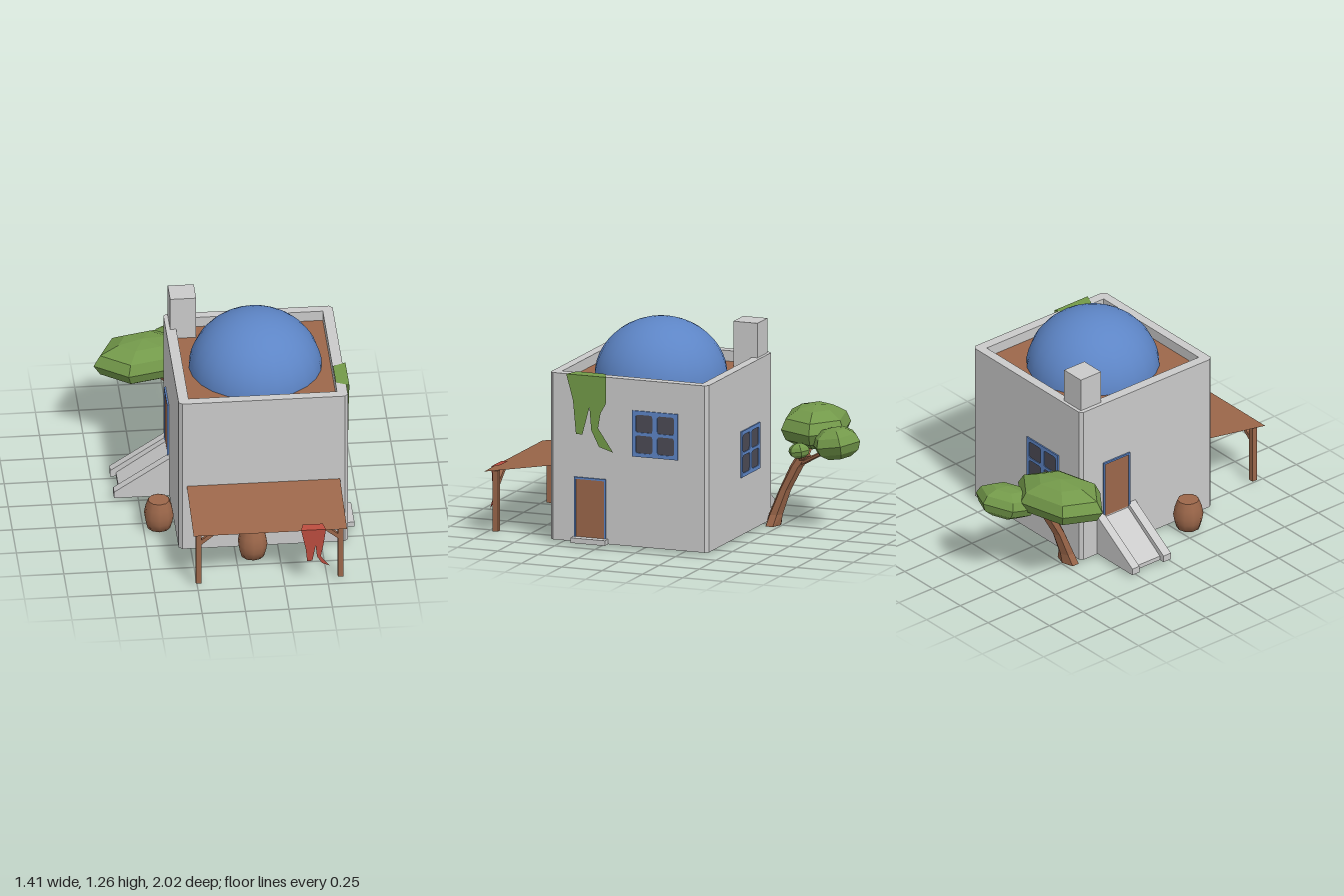
import * as THREE from 'three';

const mat = (name, color, side = THREE.FrontSide) => {
  const m = new THREE.MeshStandardMaterial({ color, side });
  m.name = name;
  return m;
};

export function createModel() {
  const model = new THREE.Group();
  const plaster = mat('plaster', 0xcacaca);
  const wood = mat('wood', 0x9c674a, THREE.DoubleSide);
  const blue = mat('bluePaint', 0x5d85c6);
  const glass = mat('darkGlass', 0x4c4b55);
  const leaf = mat('leafGreen', 0x73994a);
  const greenCloth = mat('greenCloth', 0x739a48, THREE.DoubleSide);
  const redCloth = mat('redCloth', 0xb84c3e, THREE.DoubleSide);

  const add = (name, geo, material, parent = model) => {
    const m = new THREE.Mesh(geo, material);
    m.name = name;
    parent.add(m);
    return m;
  };
  const box = (name, x0, x1, y0, y1, z0, z1, material, parent) => {
    const m = add(name, new THREE.BoxGeometry(x1 - x0, y1 - y0, z1 - z0), material, parent);
    m.position.set((x0 + x1) / 2, (y0 + y1) / 2, (z0 + z1) / 2);
    return m;
  };
  const shapeOf = (pts) => new THREE.Shape(pts.map(([x, y]) => new THREE.Vector2(x, y)));
  const rect = (x0, x1, y0, y1) => [[x0, y0], [x1, y0], [x1, y1], [x0, y1]];
  const extrude = (shape, depth) =>
    new THREE.ExtrudeGeometry(shape, { depth, bevelEnabled: false, curveSegments: 3 });
  const faceted = (geo) => {
    const g = geo.toNonIndexed();
    g.computeVertexNormals();
    return g;
  };

  // House body with chamfered corners, parapet and roof floor
  const X0 = -0.32, X1 = 0.655, Z0 = -0.41, Z1 = 0.57, C = 0.02;
  const outline = () => shapeOf([
    [X0 + C, -Z1], [X1 - C, -Z1], [X1, -Z1 + C], [X1, -Z0 - C],
    [X1 - C, -Z0], [X0 + C, -Z0], [X0, -Z0 - C], [X0, -Z1 + C]]);
  const flat = (geo, y) => geo.rotateX(-Math.PI / 2).translate(0, y, 0);
  add('houseBody', flat(extrude(outline(), 0.91), 0.02), plaster);
  const rim = outline();
  rim.holes.push(shapeOf(rect(X0 + 0.06, X1 - 0.06, -Z1 + 0.055, -Z0 - 0.055)));
  add('parapet', flat(extrude(rim, 0.07), 0.93), plaster);
  box('roofFloor', X0 + 0.06, X1 - 0.06, 0.93, 0.938, Z0 + 0.055, Z1 - 0.055, wood);

  // Dome and chimney
  const dome = add('dome', new THREE.SphereGeometry(1, 24, 12, 0, Math.PI * 2, 0, Math.PI / 2), blue);
  dome.scale.set(0.385, 0.355, 0.385);
  dome.position.set(0.165, 0.91, 0.08);
  box('chimney', -0.295, -0.145, 0.93, 1.203, -0.39, -0.24, plaster);

  // Wall fittings: local z points out of the wall
  const onWall = (name, x, y, z, turn) => {
    const g = new THREE.Group();
    g.name = name;
    g.position.set(x, y, z);
    g.rotation.y = turn;
    model.add(g);
    return g;
  };
  const windowAt = (...place) => {
    const g = onWall('window', ...place);
    const frame = shapeOf(rect(-0.14, 0.14, -0.135, 0.135));
    for (const x of [-0.067, 0.067]) for (const y of [-0.061, 0.061]) {
      const hole = new THREE.Path(), a = 0.052, r = 0.015;
      hole.moveTo(x - a + r, y - a);
      hole.lineTo(x + a - r, y - a).quadraticCurveTo(x + a, y - a, x + a, y - a + r);
      hole.lineTo(x + a, y + a - r).quadraticCurveTo(x + a, y + a, x + a - r, y + a);
      hole.lineTo(x - a + r, y + a).quadraticCurveTo(x - a, y + a, x - a, y + a - r);
      hole.lineTo(x - a, y - a + r).quadraticCurveTo(x - a, y - a, x - a + r, y - a);
      frame.holes.push(hole);
    }
    add('windowFrame', extrude(frame, 0.008), blue, g);
    box('windowPanes', -0.13, 0.13, -0.125, 0.125, 0, 0.003, glass, g);
  };
  const doorAt = (...place) => {
    const g = onWall('door', ...place);
    const w = 0.098, t = 0.011, h = 0.355;
    add('doorFrame', extrude(shapeOf([[-w, 0], [-w + t, 0], [-w + t, h - t], [w - t, h - t],
      [w - t, 0], [w, 0], [w, h], [-w, h]]), 0.01), blue, g);
    box('doorPanel', -w + t, w - t, 0, h - t, 0, 0.004, wood, g);
  };
  windowAt(X1, 0.685, -0.085, Math.PI / 2);
  windowAt(0.02, 0.495, Z0, Math.PI);
  doorAt(X1, 0.045, 0.317, Math.PI / 2);
  doorAt(X0, 0.255, -0.148, -Math.PI / 2);
  box('doorStep', X1 - 0.01, 0.705, 0.02, 0.05, 0.207, 0.42, plaster);

  // Ramp with two side walls
  const slab = (name, pts, z0, z1) =>
    add(name, extrude(shapeOf(pts), z1 - z0).translate(0, 0, z0), plaster);
  const curb = [[-0.64, 0.025], [X0, 0.025], [X0, 0.275], [-0.64, 0.065]];
  slab('rampWall', curb, -0.292, -0.24);
  slab('rampWall', curb, -0.06, -0.005);
  slab('ramp', [[-0.607, 0.025], [X0, 0.025], [X0, 0.245], [-0.607, 0.05]], -0.24, -0.06);

  // Awning sheet, posts and braces
  const sheet = (name, pts, material, parent) => {
    const g = new THREE.BufferGeometry();
    g.setAttribute('position', new THREE.Float32BufferAttribute(pts.flat(), 3));
    g.setIndex([0, 1, 2, 0, 2, 3]);
    g.computeVertexNormals();
    return add(name, g, material, parent);
  };
  sheet('awning', [[-0.275, 0.37, 0.997], [0.608, 0.37, 0.997],
    [0.608, 0.443, Z1], [-0.275, 0.443, Z1]], wood);
  for (const s of [-1, 1]) {
    const px = 0.167 + s * 0.409;
    box('awningPost', px - 0.016, px + 0.016, 0.02, 0.376, 0.917, 0.95, wood);
    const edge = px - s * 0.014;
    const brace = [[edge, 0.275], [edge, 0.305], [edge - s * 0.085, 0.377], [edge - s * 0.125, 0.377]];
    add('awningBrace', extrude(shapeOf(brace), 0.022).translate(0, 0, 0.922), wood);
  }

  // Barrels
  const stave = [[0, 0], [0.068, 0], [0.08, 0.045], [0.087, 0.085], [0.078, 0.135], [0.062, 0.18]]
    .map(([x, y]) => new THREE.Vector2(x, y));
  for (const [x, z] of [[-0.412, 0.312], [0.095, 0.665]]) {
    add('barrel', new THREE.LatheGeometry(stave, 10), wood).position.set(x, 0.021, z);
    const lid = add('barrelLid', new THREE.CircleGeometry(0.062, 10), wood);
    lid.rotation.set(-Math.PI / 2, 0, Math.PI / 2);
    lid.position.set(x, 0.2, z);
  }

  // Trousers hung out to dry, with the waist folded back over the edge
  const trousers = (name, pts, material, depth, rise, inset) => {
    const g = new THREE.Group();
    g.name = name;
    model.add(g);
    add('trouserLegs', new THREE.ShapeGeometry(shapeOf(pts)), material, g);
    const [[xa, y], [xb]] = pts;
    sheet('trouserWaist', [[xa, y, 0], [xb, y, 0], [xb - inset, y + rise, -depth],
      [xa + inset, y + rise, -depth]], material, g);
    return g;
  };
  trousers('redTrousers', [[0.343, 0.376], [0.487, 0.376], [0.473, 0.28], [0.457, 0.195],
    [0.507, 0.13], [0.463, 0.15], [0.435, 0.195], [0.427, 0.27], [0.408, 0.168],
    [0.378, 0.168], [0.37, 0.25]], redCloth, 0.05, 0.008, 0.014).position.z = 1;
  const green = trousers('greenTrousers', [[-0.46, 1.003], [-0.213, 1.003], [-0.215, 0.845],
    [-0.247, 0.79], [-0.263, 0.7], [-0.17, 0.565], [-0.257, 0.59], [-0.305, 0.685],
    [-0.316, 0.82], [-0.36, 0.655], [-0.4, 0.655], [-0.418, 0.85]], greenCloth, 0.075, 0.002, 0.035);
  green.rotation.y = Math.PI / 2;
  green.position.x = 0.672;

  // Tree limbs: rows of x, y, z, radius in x, radius in z
  const limb = (name, rows) => {
    const n = rows.length - 1;
    const g = new THREE.CylinderGeometry(1, 1, 1, 6, n);
    const p = g.attributes.position;
    for (let i = 0; i < p.count; i++) {
      const [x, y, z, rx, rz] = rows[Math.round((p.getY(i) + 0.5) * n)];
      p.setXYZ(i, x + p.getX(i) * rx, y, z + p.getZ(i) * rz);
    }
    add(name, faceted(g), wood);
  };
  limb('trunk', [[-0.25, 0.005, -0.447, 0.078, 0.045], [-0.25, 0.07, -0.462, 0.05, 0.042],
    [-0.25, 0.22, -0.52, 0.04, 0.036], [-0.245, 0.36, -0.592, 0.037, 0.04],
    [-0.245, 0.43, -0.64, 0.035, 0.045]]);
  limb('branch', [[-0.245, 0.385, -0.62, 0.025, 0.03], [-0.36, 0.5, -0.64, 0.025, 0.025]]);
  limb('branch', [[-0.24, 0.38, -0.62, 0.025, 0.03], [-0.21, 0.48, -0.8, 0.02, 0.025]]);
  limb('branch', [[-0.235, 0.4, -0.63, 0.02, 0.02], [-0.15, 0.47, -0.645, 0.012, 0.012]]);

  // Foliage
  for (const [pos, size, tilt, turn] of [
    [[-0.415, 0.57, -0.642], [0.3, 0.125, 0.21], 0, 0.25],
    [[-0.19, 0.53, -0.862], [0.185, 0.095, 0.147], 0.18, 0.51],
    [[-0.145, 0.476, -0.648], [0.06, 0.045, 0.065], 0.15, 0.6]]) {
    const clump = add('foliage', faceted(new THREE.SphereGeometry(1, 6, 6)), leaf);
    clump.position.set(...pos);
    clump.scale.set(...size);
    clump.rotation.set(tilt, turn, 0);
  }
  return model;
}
